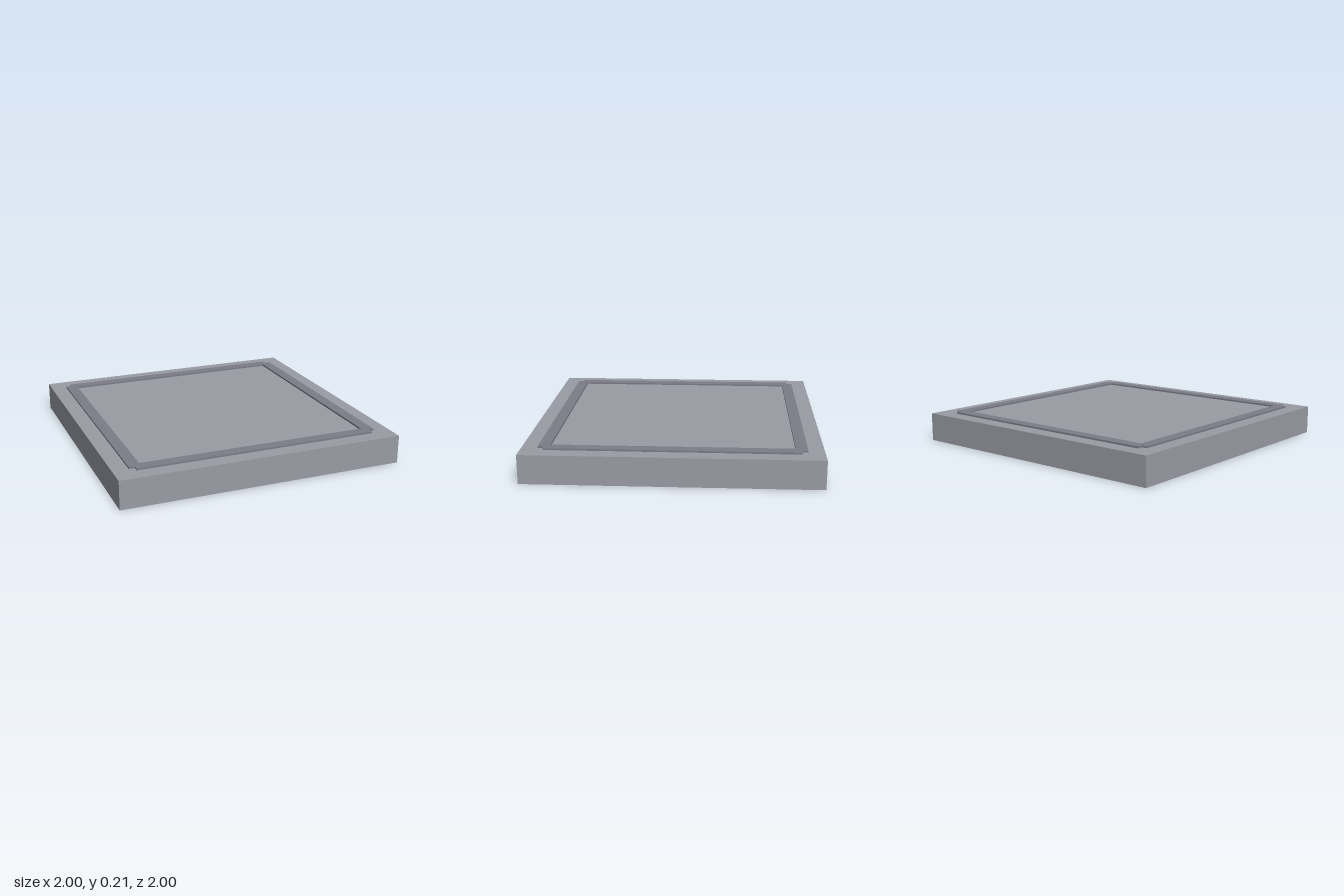
import * as THREE from 'three';

const SLAB_HEIGHT = 0.2;
const TRIM_HEIGHT = 0.012;

// Square trim outline whose corners are stepped inwards
function trimShape(outer, step, inner) {
  const shape = new THREE.Shape();
  const points = [];
  for (let i = 0; i < 4; i++) {
    const corner = [[outer, -step], [outer, step], [step, step]];
    for (const [x, y] of corner.slice(1)) {
      points.push(new THREE.Vector2(x, y).rotateAround(new THREE.Vector2(), i * Math.PI / 2));
    }
    points.push(new THREE.Vector2(step, outer).rotateAround(new THREE.Vector2(), i * Math.PI / 2));
  }
  shape.setFromPoints(points);

  const hole = new THREE.Path();
  hole.setFromPoints([[-inner, -inner], [-inner, inner], [inner, inner], [inner, -inner]]
    .map(([x, y]) => new THREE.Vector2(x, y)));
  shape.holes.push(hole);
  return shape;
}

export function createModel() {
  const model = new THREE.Group();
  model.name = 'floorTile';

  // Solid square slab
  const slab = new THREE.Mesh(
    new THREE.BoxGeometry(2, SLAB_HEIGHT, 2),
    new THREE.MeshStandardMaterial({ color: 0x9a9ca5 })
  );
  slab.name = 'slab';
  slab.position.y = SLAB_HEIGHT / 2;
  model.add(slab);

  // Thin raised border trim lying on the slab
  const trimGeometry = new THREE.ExtrudeGeometry(trimShape(0.89, 0.85, 0.81), {
    depth: TRIM_HEIGHT,
    bevelEnabled: false
  });
  trimGeometry.rotateX(-Math.PI / 2);
  const trim = new THREE.Mesh(
    trimGeometry,
    new THREE.MeshStandardMaterial({ color: 0x7c7c88 })
  );
  trim.name = 'borderTrim';
  trim.position.y = SLAB_HEIGHT;
  model.add(trim);

  return model;
}
